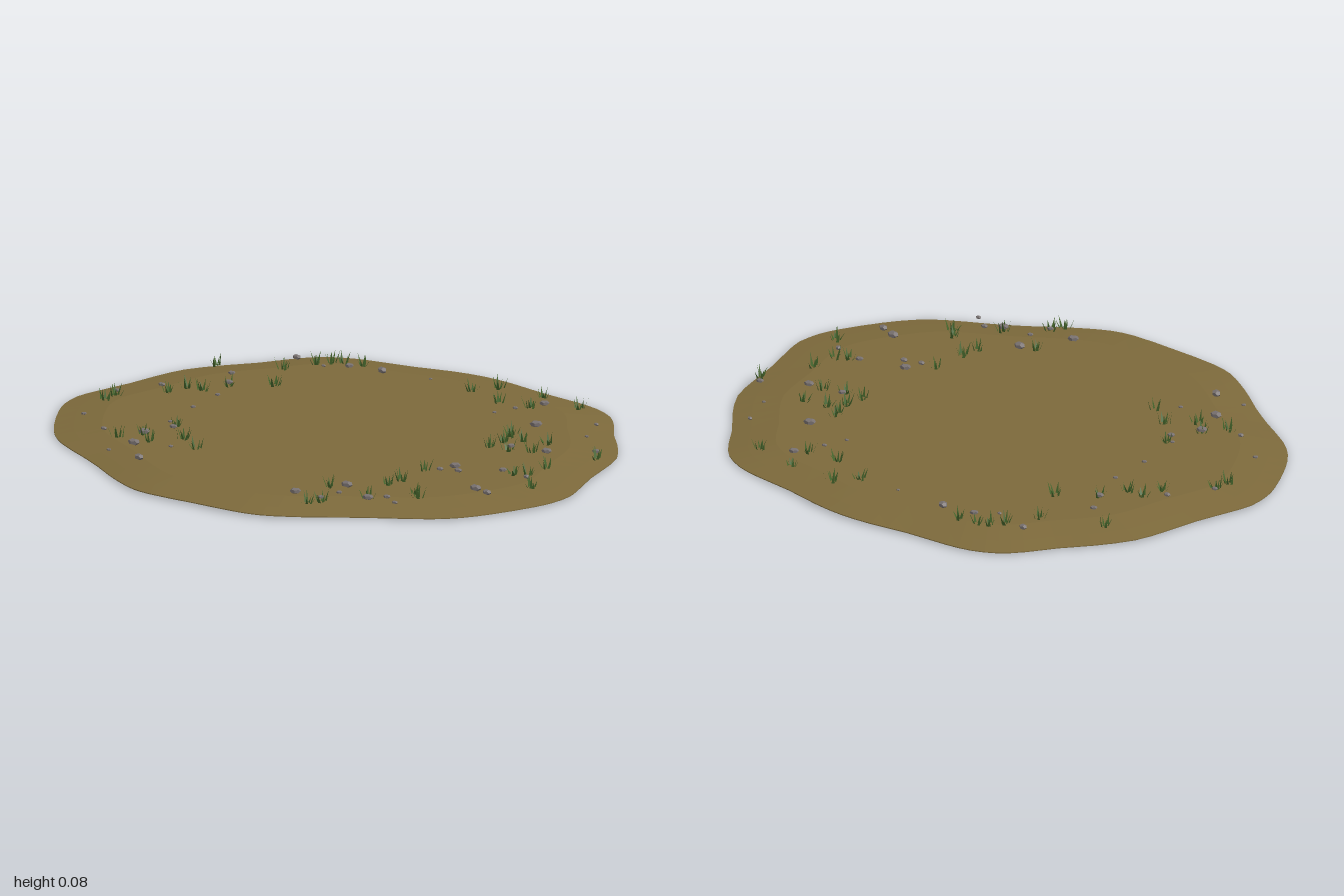
import * as THREE from 'three';
import { mergeGeometries } from 'three/addons/utils/BufferGeometryUtils.js';

const earth = new THREE.MeshStandardMaterial({ color: 0x7c693b });
const stone = new THREE.MeshStandardMaterial({ color: 0x77706f, flatShading: true });
const grass = new THREE.MeshStandardMaterial({ color: 0x44642b, side: THREE.DoubleSide });
earth.name = 'earth'; stone.name = 'stone'; grass.name = 'grass';

let seed = 7;
const rand = (a = 0, b = 1) => {
  seed = (seed * 16807) % 2147483647;
  return a + (b - a) * (seed / 2147483647);
};

// Right half of the wavy outline (x, z), back to front; the left half mirrors it
const half = [
  [0, -0.865], [0.12, -0.855], [0.26, -0.828], [0.42, -0.81], [0.51, -0.79], [0.595, -0.745],
  [0.655, -0.68], [0.72, -0.585], [0.8, -0.49], [0.88, -0.37], [0.915, -0.25], [0.94, -0.13],
  [0.985, 0.02], [1, 0.09], [0.99, 0.18], [0.965, 0.25], [0.89, 0.39], [0.825, 0.48],
  [0.75, 0.545], [0.61, 0.625], [0.505, 0.69], [0.42, 0.75], [0.34, 0.8], [0.26, 0.84],
  [0.18, 0.857], [0, 0.86],
];

// Small pebbles: x, z, radius
const stones = [
  [-0.26, -0.64, 0.018], [-0.38, -0.62, 0.014], [-0.45, -0.57, 0.008], [-0.58, -0.6, 0.015],
  [-0.66, -0.33, 0.012], [-0.61, -0.24, 0.014], [-0.78, -0.09, 0.012], [-0.56, -0.1, 0.009],
  [-0.55, 0.06, 0.009], [-0.87, 0.05, 0.011], [-0.52, 0.24, 0.008], [-0.48, 0.28, 0.013],
  [-0.81, 0.33, 0.009], [-0.66, 0.43, 0.011], [-0.49, 0.5, 0.02], [-0.36, 0.47, 0.008],
  [-0.51, 0.62, 0.008], [-0.38, 0.63, 0.018], [-0.53, 0.38, 0.018], [-0.07, -0.65, 0.006],
  [0.4, -0.64, 0.016], [0.51, -0.43, 0.02], [0.68, -0.54, 0.009], [0.35, -0.54, 0.009],
  [0.32, -0.46, 0.007], [0.73, -0.41, 0.007], [0.85, -0.29, 0.013], [0.71, -0.2, 0.017],
  [0.58, -0.18, 0.013], [0.55, 0.11, 0.018], [0.59, 0.15, 0.013], [0.53, 0.17, 0.012],
  [0.71, 0.06, 0.013], [0.75, 0.28, 0.02], [0.81, 0.3, 0.016], [0.37, 0.49, 0.02],
  [0.56, 0.53, 0.012], [0.62, 0.57, 0.01], [0.27, 0.65, 0.018], [0.51, 0.57, 0.018],
  [0.4, 0.58, 0.01], [0.38, 0.66, 0.011], [0.82, 0.08, 0.012],
];

// Grass tufts: x, z
const tufts = [
  [-0.43, -0.66], [-0.36, -0.67], [-0.47, -0.64], [-0.5, -0.6], [-0.56, -0.49], [-0.77, -0.4],
  [-0.48, -0.32], [-0.6, -0.23], [-0.65, -0.14], [-0.71, -0.14], [-0.73, -0.06], [-0.86, 0.07],
  [-0.86, 0.13], [-0.49, 0.24], [-0.39, 0.35], [-0.53, 0.38], [-0.59, 0.45], [-0.47, 0.43],
  [-0.29, 0.42], [0.16, -0.72], [0.1, -0.65], [0.34, -0.72], [0.51, -0.68], [0.37, -0.6],
  [0.25, -0.59], [0.49, -0.32], [0.5, -0.29], [0.56, -0.28], [0.65, -0.3], [0.52, -0.23],
  [0.58, -0.16], [0.51, -0.16], [0.66, -0.19], [0.8, -0.07], [0.79, 0.03], [0.75, 0.05],
  [0.88, 0.14], [0.48, 0.19], [0.48, 0.32], [0.47, 0.39], [0.63, 0.45], [0.6, 0.42],
  [0.5, 0.56], [0.32, 0.52], [0.39, 0.67], [0.36, 0.71], [0.88, -0.25],
];

// Low mound: rings of the outline at a scale and height, with a gently rising and falling rim
function moundGeometry() {
  const all = [...half, ...half.slice(1, -1).reverse().map(([x, z]) => [-x, z])];
  const curve = new THREE.CatmullRomCurve3(all.map(([x, z]) => new THREE.Vector3(x, 0, z)), true);
  const n = 100;
  const outline = curve.getPoints(n).slice(0, n);
  // Scale, height, share of the rim wave
  const rings = [
    [0, 0.036, 0], [0.4, 0.036, 0], [0.83, 0.033, 0], [0.93, 0.019, 0.5],
    [1, 0.008, 1], [1, 0.005, 1], [0.83, 0, 0], [0, 0, 0],
  ];
  const pos = [], index = [];
  for (const [s, y, wave] of rings) {
    for (const p of outline) {
      const lift = 0.003 * wave * Math.cos(4 * Math.atan2(p.z, p.x));
      pos.push(p.x * s, y + lift, p.z * s);
    }
  }
  for (let r = 0; r < rings.length - 1; r++) {
    for (let i = 0; i < n; i++) {
      const a = r * n + i, b = r * n + (i + 1) % n, c = a + n, d = b + n;
      if (rings[r][0] > 0) index.push(a, b, c);
      if (rings[r + 1][0] > 0) index.push(b, d, c);
      else index.push(a, b, c);
    }
  }
  const g = new THREE.BufferGeometry();
  g.setAttribute('position', new THREE.Float32BufferAttribute(pos, 3));
  g.setIndex(index);
  const faceted = g.toNonIndexed();
  faceted.computeVertexNormals();
  return faceted;
}

// One tuft of thin, pointed blades fanning outward
function tuftGeometry(x, z) {
  const pos = [];
  const count = 7;
  for (let i = 0; i < count; i++) {
    const a = (i + rand()) / count * Math.PI * 2, r = rand(0.003, 0.02);
    const out = new THREE.Vector2(Math.cos(a), Math.sin(a));
    const bx = x + out.x * r, bz = z + out.y * r;
    const w = rand(0.004, 0.006), h = rand(0.02, 0.046), lean = rand(0.006, 0.018);
    const dx = -out.y * w, dz = out.x * w;
    pos.push(bx + dx, 0.034, bz + dz, bx - dx, 0.034, bz - dz,
      bx + out.x * lean, 0.034 + h, bz + out.y * lean);
  }
  const g = new THREE.BufferGeometry();
  g.setAttribute('position', new THREE.Float32BufferAttribute(pos, 3));
  g.computeVertexNormals();
  return g;
}

export function createModel() {
  const model = new THREE.Group();
  const add = (name, geometry, material) => {
    const mesh = new THREE.Mesh(geometry, material);
    mesh.name = name;
    model.add(mesh);
  };

  add('earthMound', moundGeometry(), earth);
  add('pebbles', mergeGeometries(stones.map(([x, z, r]) =>
    new THREE.DodecahedronGeometry(r, 0)
      .scale(1.1, 0.6, 0.85)
      .rotateY(rand(-0.5, 0.5))
      .translate(x, 0.046, z))), stone);
  add('grassTufts', mergeGeometries(tufts.map(([x, z]) => tuftGeometry(x, z))), grass);
  return model;
}
